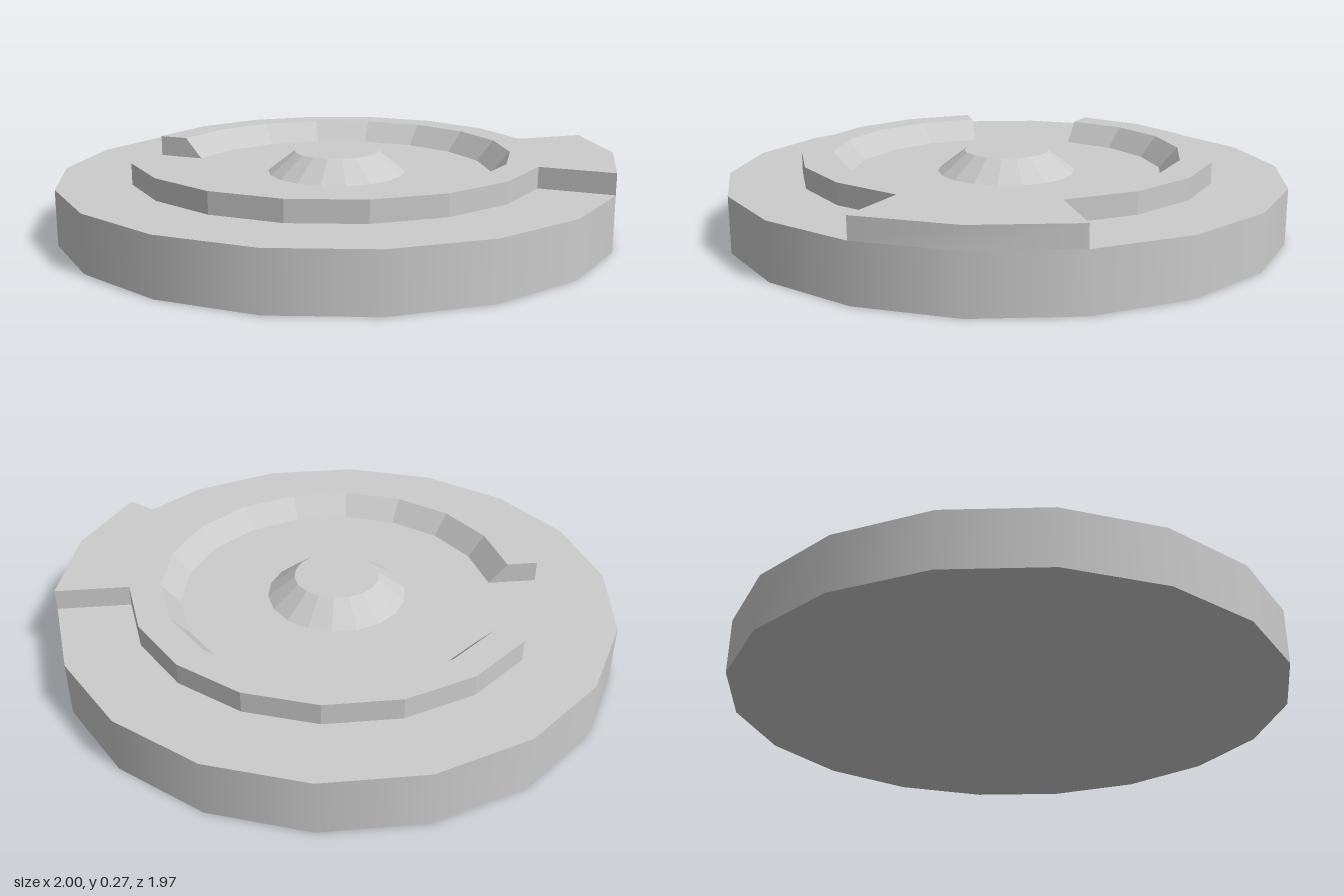
import * as THREE from 'three';
import { toCreasedNormals } from 'three/addons/utils/BufferGeometryUtils.js';

const SIDES = 18;
const STEP = (Math.PI * 2) / SIDES;
const FLOOR = 0.197;
const TOP = 0.272;

// Sweeps a four-cornered [radius, height] section around y between two step
// indices; the first `walls` sides are skinned and both ends are capped.
function sweep(section, from, to, walls) {
  const pos = [];
  const point = (i, k) => [section[i][0] * Math.cos(k * STEP), section[i][1], section[i][0] * Math.sin(k * STEP)];
  const quad = (a, b, c, d) => pos.push(...a, ...b, ...c, ...a, ...c, ...d);
  for (let k = from; k < to; k++) {
    for (let i = 0; i < walls; i++) {
      quad(point(i, k), point(i, k + 1), point(i + 1, k + 1), point(i + 1, k));
    }
  }
  quad(point(0, from), point(1, from), point(2, from), point(3, from));
  quad(point(3, to), point(2, to), point(1, to), point(0, to));
  const geo = new THREE.BufferGeometry();
  geo.setAttribute('position', new THREE.Float32BufferAttribute(pos, 3));
  geo.computeVertexNormals();
  return geo;
}

export function createModel() {
  const group = new THREE.Group();
  const smooth = new THREE.MeshStandardMaterial({ color: 0xcccccc });
  const flat = new THREE.MeshStandardMaterial({ color: 0xcccccc, flatShading: true });
  const add = (name, geo, material) => {
    const mesh = new THREE.Mesh(geo, material);
    mesh.name = name;
    group.add(mesh);
  };

  // Round base with a corner on the x axis
  add('baseDisc', new THREE.CylinderGeometry(1, 1, FLOOR, SIDES, 1, false, Math.PI / 2)
    .translate(0, FLOOR / 2, 0), smooth);

  // Raised ring, open towards -x, with a sloped inner face
  add('raisedRing', sweep([[0.565, FLOOR], [0.63, TOP], [0.74, TOP], [0.74, FLOOR]], -8, 8, 3), flat);

  // Tab joining the ring to the rim on the +x side
  add('rimTab', toCreasedNormals(
    sweep([[0.74, TOP], [1, TOP], [1, FLOOR], [0.74, FLOOR]], -1, 1, 2), 0.6), smooth);

  // Tapered centre hub
  add('centreHub', new THREE.CylinderGeometry(0.153, 0.25, TOP - FLOOR, SIDES, 1, false, Math.PI / 2)
    .translate(0, (TOP + FLOOR) / 2, 0), flat);

  return group;
}
